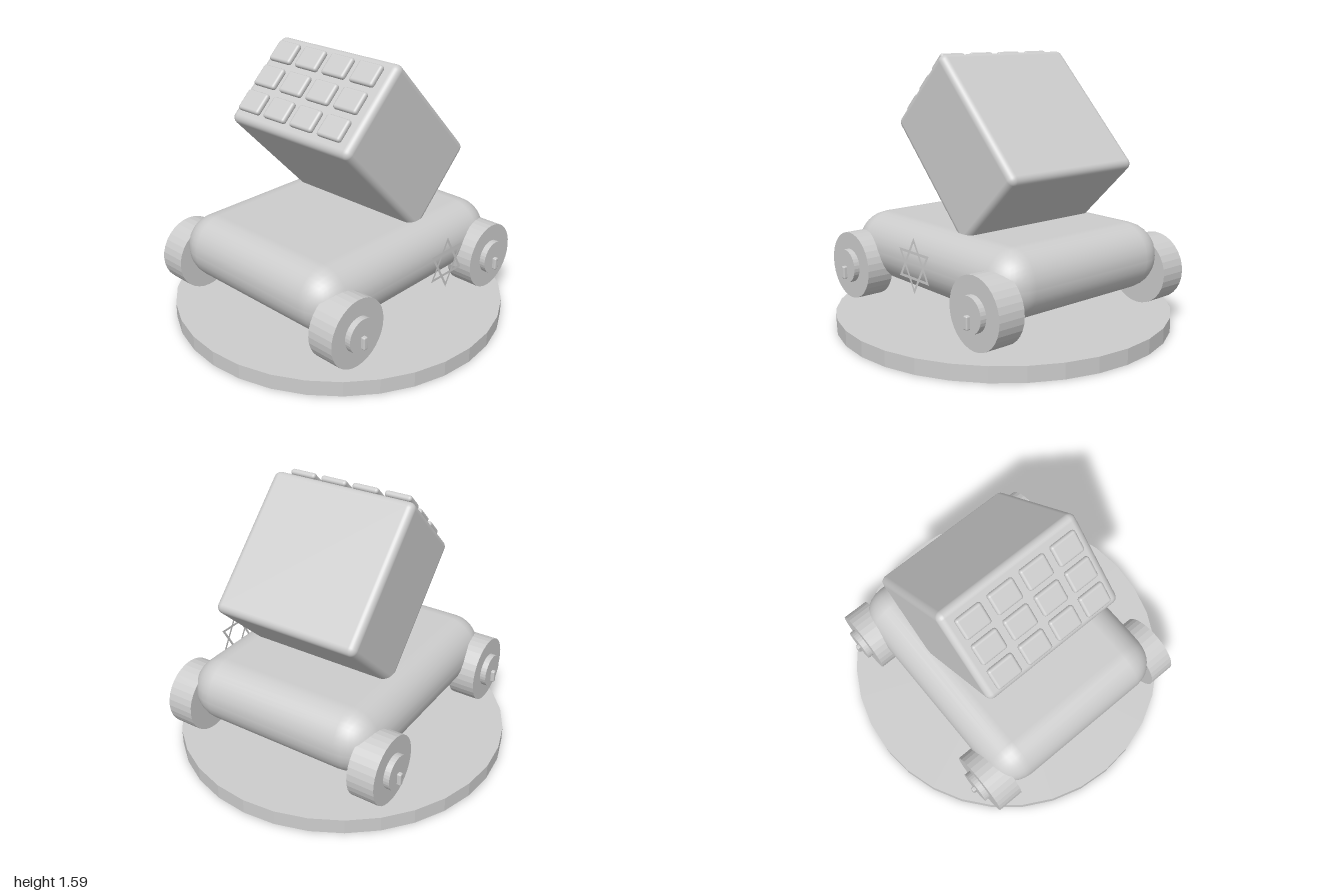
import * as THREE from 'three';
import { RoundedBoxGeometry } from 'three/addons/geometries/RoundedBoxGeometry.js';

const lightGrey = new THREE.MeshStandardMaterial({ color: 0xcccccc, side: THREE.DoubleSide });
lightGrey.name = 'lightGrey';

function add(parent, name, geometry, x = 0, y = 0, z = 0) {
  const mesh = new THREE.Mesh(geometry, lightGrey);
  mesh.name = name;
  mesh.position.set(x, y, z);
  parent.add(mesh);
  return mesh;
}

// Faceted cylinder, optionally lying along x
function facetedCylinder(radius, length, alongX) {
  const g = new THREE.CylinderGeometry(radius, radius, length, 32).toNonIndexed();
  if (alongX) g.rotateZ(-Math.PI / 2);
  g.computeVertexNormals();
  return g;
}

// Corners of a triangle pointing up (sign 1) or down (sign -1)
function triangle(radius, sign) {
  return [0, 1, 2].map((i) => {
    const a = sign * Math.PI / 2 + i * Math.PI * 2 / 3;
    return new THREE.Vector2(radius * Math.cos(a), radius * Math.sin(a));
  });
}

export function createModel() {
  const model = new THREE.Group();
  model.name = 'launcherCart';

  // Round stand
  add(model, 'base', facetedCylinder(1, 0.09, false), 0, 0.045, 0);

  // Soft-edged chassis
  add(model, 'chassis', new RoundedBoxGeometry(1.23, 0.39, 1.51, 4, 0.19), 0, 0.435, 0);

  // Four wheels with hubs and small pins
  for (const side of [1, -1]) {
    for (const end of [1, -1]) {
      const wheel = new THREE.Group();
      wheel.name = (end > 0 ? 'front' : 'rear') + (side > 0 ? 'Left' : 'Right') + 'Wheel';
      wheel.position.set(0, 0.33, end * 0.59);
      add(wheel, 'tyre', facetedCylinder(0.2, 0.165, true), side * 0.62, 0, 0);
      add(wheel, 'hub', facetedCylinder(0.1, 0.05, true), side * 0.713, 0, 0);
      add(wheel, 'pin', new RoundedBoxGeometry(0.04, 0.075, 0.03, 2, 0.008), side * 0.74, -0.037, 0);
      model.add(wheel);
    }
  }

  // Tilted launcher box with a grid of covers on its front
  const launcher = new THREE.Group();
  launcher.name = 'launcher';
  launcher.position.set(0, 1.08, -0.0925);
  launcher.rotation.x = -46 * Math.PI / 180;
  add(launcher, 'launcherBox', new RoundedBoxGeometry(0.915, 0.597, 0.885, 4, 0.04));
  for (let row = -1; row <= 1; row++) {
    for (let col = 0; col < 4; col++) {
      add(launcher, 'tubeCover', new RoundedBoxGeometry(0.166, 0.135, 0.036, 3, 0.016),
        (col - 1.5) * 0.208, row * 0.172, 0.474);
    }
  }
  model.add(launcher);

  // Flat six-pointed star made of two triangle outlines
  const star = new THREE.Group();
  star.name = 'starOrnament';
  star.position.set(0.73, 0.48, -0.115);
  star.rotation.y = Math.PI / 2;
  for (const sign of [1, -1]) {
    const outline = new THREE.Shape(triangle(0.157, sign));
    outline.holes.push(new THREE.Path(triangle(0.127, sign)));
    add(star, 'starTriangle', new THREE.ShapeGeometry(outline));
  }
  model.add(star);

  return model;
}
